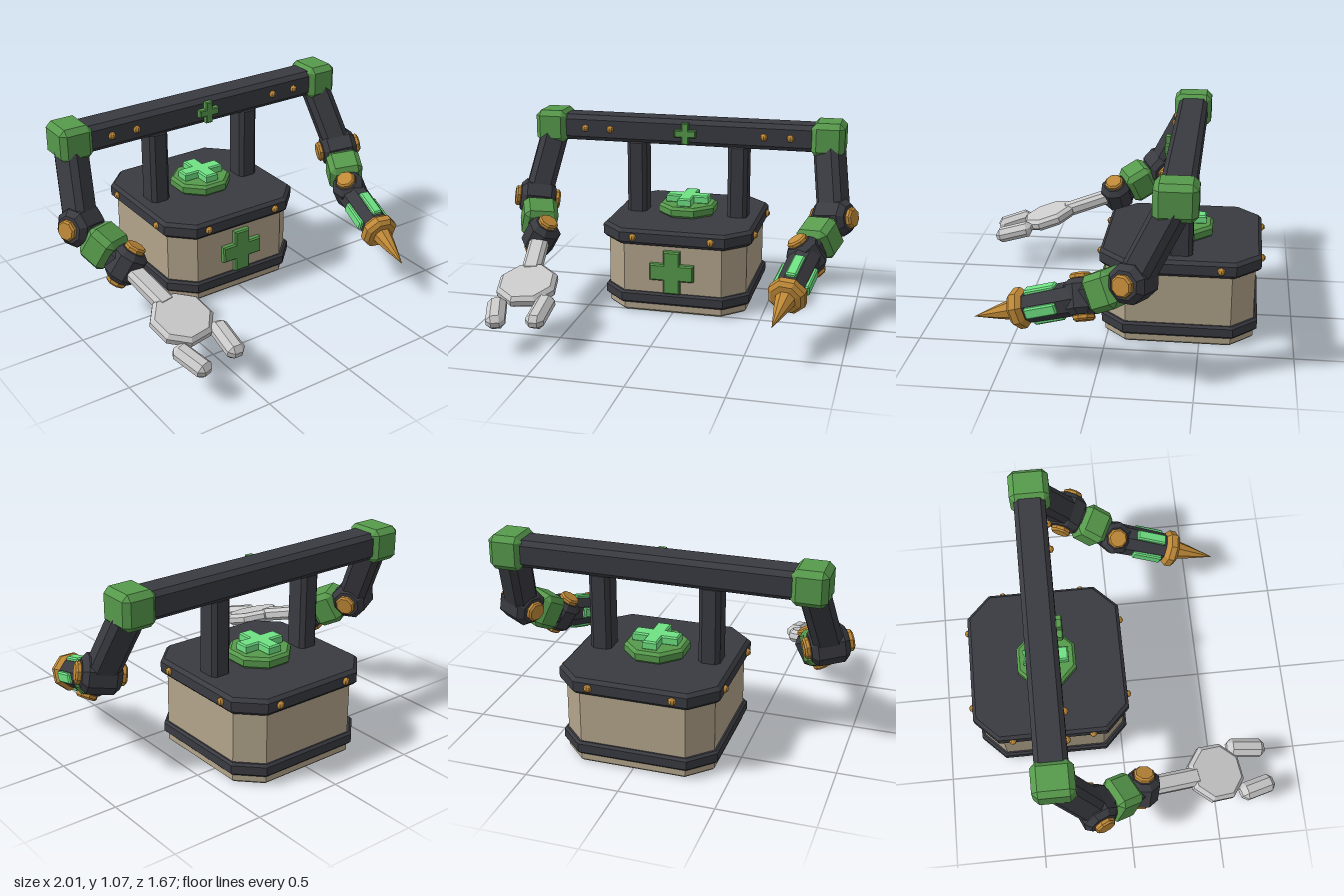
import * as THREE from 'three';
import { ConvexGeometry } from 'three/addons/geometries/ConvexGeometry.js';

const paint = (color) => new THREE.MeshStandardMaterial({ color, flatShading: true });
const V = (x, y, z) => new THREE.Vector3(x, y, z);

// Box with every edge chamfered
function block(w, h, d, c) {
  const pts = [];
  const [x, y, z] = [w / 2, h / 2, d / 2];
  for (const i of [-1, 1]) for (const j of [-1, 1]) for (const k of [-1, 1]) {
    pts.push(V(i * x, j * (y - c), k * (z - c)));
    pts.push(V(i * (x - c), j * y, k * (z - c)));
    pts.push(V(i * (x - c), j * (y - c), k * z));
  }
  return new ConvexGeometry(pts);
}

// Extrude an outline along z with a bevel that stays inside the outline; base at z = 0
function slab(points, height, bevel) {
  const shape = new THREE.Shape(points.map(([x, y]) => new THREE.Vector2(x, y)));
  const g = new THREE.ExtrudeGeometry(shape, {
    depth: height - 2 * bevel, bevelEnabled: true, bevelThickness: bevel,
    bevelSize: bevel, bevelOffset: -bevel, bevelSegments: 1,
  });
  return g.translate(0, 0, bevel);
}

// Square with cut corners, standing on y = 0
function octagon(half, flat, height, bevel) {
  const a = half, b = flat;
  return slab([[a, -b], [a, b], [b, a], [-b, a], [-a, b], [-a, -b], [-b, -a], [b, -a]], height, bevel)
    .rotateX(-Math.PI / 2);
}

function plus(r, t, height, bevel) {
  return slab([[t, -r], [t, -t], [r, -t], [r, t], [t, t], [t, r], [-t, r], [-t, t],
    [-r, t], [-r, -t], [-t, -t], [-t, -r]], height, bevel);
}

// Eight-sided prism along y with chamfered rims
function drum(r, length, c) {
  const h = length / 2;
  const profile = [[0, -h], [r - c, -h], [r, -h + c], [r, h - c], [r - c, h], [0, h]];
  return new THREE.LatheGeometry(profile.map(([x, y]) => new THREE.Vector2(x, y)), 8).rotateY(Math.PI / 8);
}

export function createModel() {
  const model = new THREE.Group();
  model.name = 'medicalArmUnit';
  const dark = paint(0x3a3b41), green = paint(0x579a4c), glow = paint(0x6fe283);
  const gold = paint(0xc08a38), beige = paint(0xb3a58c), steel = paint(0xcccccc);

  const add = (parent, name, geometry, material, x = 0, y = 0, z = 0) => {
    const m = new THREE.Mesh(geometry, material);
    m.name = name;
    m.position.set(x, y, z);
    parent.add(m);
    return m;
  };
  // Group at origin with +y along dir and +x as near as possible to side
  const frame = (name, origin, dir, side) => {
    const g = new THREE.Group();
    g.name = name;
    const y = dir.clone().normalize();
    const x = side.clone().addScaledVector(y, -side.dot(y)).normalize();
    g.quaternion.setFromRotationMatrix(new THREE.Matrix4().makeBasis(x, y, x.clone().cross(y)));
    g.position.copy(origin);
    model.add(g);
    return g;
  };

  // Base case with bands
  const zc = -0.385;
  add(model, 'caseBody', octagon(0.4, 0.28, 0.42, 0.012), beige, 0, 0, zc);
  add(model, 'lowerBand', octagon(0.42, 0.292, 0.07, 0.012), dark, 0, 0.05, zc);
  add(model, 'lid', octagon(0.43, 0.3, 0.09, 0.018), dark, 0, 0.4, zc);
  add(model, 'frontCross', plus(0.125, 0.048, 0.04, 0.008), green, 0, 0.25, 0.01);
  add(model, 'lidMedallion', octagon(0.162, 0.067, 0.065, 0.015), green, 0, 0.488, zc);
  add(model, 'medallionCross', plus(0.125, 0.04, 0.05, 0.008).rotateX(-Math.PI / 2), glow, 0, 0.548, zc);

  // Rivets around the lid
  const rivet = new THREE.SphereGeometry(0.021, 8, 6);
  for (let i = 0; i < 4; i++) for (const s of [-1, 1]) {
    const p = V(s * 0.222, 0.445, 0.43).applyAxisAngle(V(0, 1, 0), i * Math.PI / 2);
    add(model, 'lidRivet', rivet, gold, p.x, p.y, p.z + zc);
  }

  // Gantry: posts, beam, rivets and emblem
  add(model, 'beam', block(1.5, 0.15, 0.17, 0.025), dark, 0, 0.975, -0.39);
  add(model, 'beamCross', plus(0.062, 0.021, 0.035, 0.005), green, 0, 0.975, -0.31);
  for (const s of [-1, 1]) {
    add(model, 'post', block(0.115, 0.46, 0.135, 0.022), dark, s * 0.298, 0.69, zc);
    add(model, 'shoulderBlock', block(0.187, 0.19, 0.218, 0.03), green, s * 0.807, 0.975, -0.388);
    for (const x of [0.45, 0.6]) add(model, 'beamRivet', rivet, gold, s * x, 0.975, -0.303);
  }

  // Joint drum with a cap at each end
  const joint = (name, at, axis, r, length) => {
    const g = frame(name, at, axis, V(0, 0, 1));
    add(g, 'jointDrum', drum(r, length, 0.03), dark);
    for (const s of [-1, 1]) add(g, 'jointCap', drum(0.058, 0.036, 0.01), gold, 0, s * (length / 2 + 0.012), 0);
  };

  // Straight limb segment between two points
  const limb = (name, a, b, side, w) => {
    const d = b.clone().sub(a);
    const g = frame(name, a.clone().lerp(b, 0.5), d, side);
    add(g, name + 'Bar', block(w, d.length(), w, 0.03), dark);
    return g;
  };

  // Two mirrored arms as far as the wrist
  for (const s of [-1, 1]) {
    const shoulder = V(s * 0.807, 0.95, -0.385), elbow = V(s * 0.868, 0.57, -0.195);
    const wrist = V(s * 0.755, 0.42, 0.07);
    const elbowAxis = V(s * 0.87, 0.15, 0.38), wristAxis = V(-s * 0.5, 0.85, 0.14);
    limb('upperArm', shoulder, elbow, elbowAxis, 0.155);
    joint('elbow', elbow, elbowAxis, 0.105, 0.2);
    const forearm = limb('forearm', elbow, wrist, elbowAxis, 0.14);
    add(forearm, 'forearmSleeve', block(0.195, 0.17, 0.195, 0.03), green, 0, 0.005, 0);
    joint('wrist', wrist, wristAxis, 0.095, 0.18);
  }

  // Left hand: injector with glowing strips and a needle
  const injector = frame('injector', V(0.755, 0.42, 0.07), V(-0.095, -0.19, 0.58), V(1, 0, 0));
  add(injector, 'barrel', new THREE.CylinderGeometry(0.082, 0.09, 0.34, 8).rotateY(Math.PI / 8), dark, 0, 0.17, 0);
  for (let i = 0; i < 4; i++) {
    const strip = block(0.06, 0.175, 0.03, 0.008).translate(0, 0.205, 0.083).rotateY(i * Math.PI / 2);
    add(injector, 'glowStrip', strip, glow);
  }
  const nozzle = [[0, 0.305], [0.083, 0.305], [0.106, 0.33], [0.106, 0.365], [0.085, 0.385], [0.055, 0.39], [0.035, 0.48], [0, 0.618]];
  add(injector, 'needle', new THREE.LatheGeometry(nozzle.map(([x, y]) => new THREE.Vector2(x, y)), 8)
    .rotateY(Math.PI / 8), gold);

  // Right hand: rod, octagonal palm and two fingers lying in one tilted plane
  const claw = frame('claw', V(-0.755, 0.42, 0.07), V(0.075, -0.14, 0.42), V(1, 0, 0));
  add(claw, 'clawRod', block(0.105, 0.34, 0.075, 0.02), steel, 0, 0.18, 0);
  add(claw, 'palm', octagon(0.155, 0.065, 0.07, 0.02).rotateX(Math.PI / 2), steel, 0, 0.45, -0.035);
  claw.updateMatrixWorld(true);
  const finger = (base, tip) => {
    const d = tip.clone().sub(base);
    const g = frame('finger', base.clone().lerp(tip, 0.5), d, V(1, 0, 0));
    add(g, 'fingerBar', block(0.1, d.length(), 0.085, 0.028), steel);
  };
  finger(V(-0.798, 0.23, 0.625), V(-0.735, 0.175, 0.82));
  finger(V(-0.535, 0.25, 0.575), V(-0.54, 0.185, 0.795));

  return model;
}
